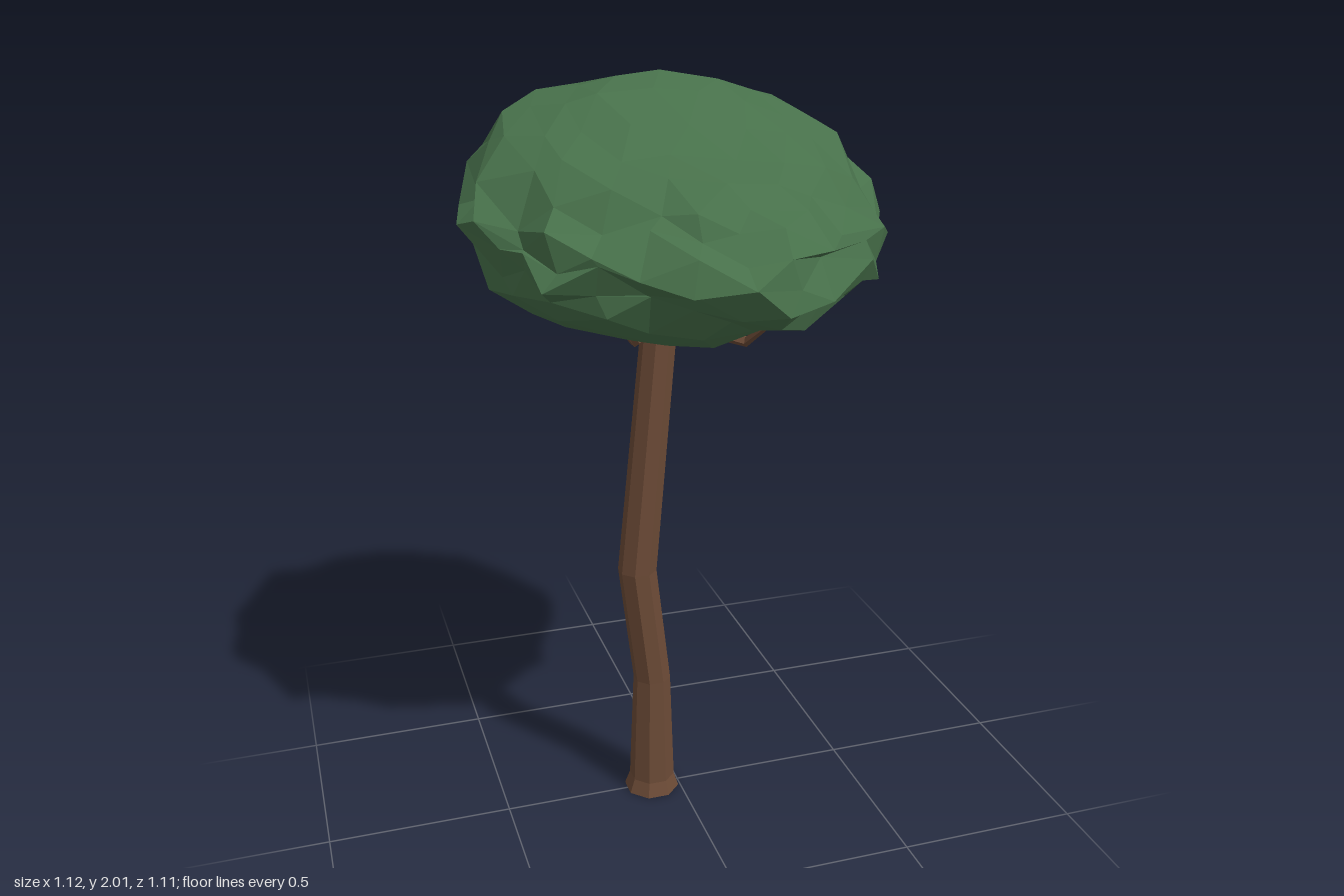
import * as THREE from 'three';

const bark = new THREE.MeshStandardMaterial({ color: 0x6b4a36, flatShading: true });
const leaf = new THREE.MeshStandardMaterial({ color: 0x47704a, flatShading: true });

// Canopy radius seen from above, in equal steps from +x towards +z
const outline = [
  0.55, 0.525, 0.55, 0.535, 0.555, 0.49, 0.56, 0.545,
  0.55, 0.515, 0.565, 0.54, 0.535, 0.56, 0.535, 0.545,
];

function outlineRadius(x, z) {
  const n = outline.length;
  const t = ((Math.atan2(z, x) / (Math.PI * 2) + 1) % 1) * n;
  const i = Math.floor(t);
  return THREE.MathUtils.lerp(outline[i % n], outline[(i + 1) % n], t - i);
}

// Repeatable value in -1..1 for a point, so that shared corners move together
function hash(x, y, z) {
  const q = (v) => Math.round(v * 1000);
  const s = Math.sin(q(x) * 0.1271 + q(y) * 0.3117 + q(z) * 0.0747 + 3.1) * 43758.5453;
  return (s - Math.floor(s)) * 2 - 1;
}

// Faceted limb through horizontal or path-facing rings; each ring is [x, y, z, radius]
function limb(name, rings, sides, horizontal) {
  const points = rings.map(([x, y, z]) => new THREE.Vector3(x, y, z));
  const up = new THREE.Vector3(0, 1, 0);
  const pos = [], index = [];
  rings.forEach(([, , , r], i) => {
    const dir = horizontal
      ? up
      : points[Math.min(i + 1, points.length - 1)].clone().sub(points[Math.max(i - 1, 0)]).normalize();
    const turn = new THREE.Quaternion().setFromUnitVectors(up, dir);
    for (let j = 0; j < sides; j++) {
      const a = ((j + 0.5) / sides) * Math.PI * 2;
      const p = new THREE.Vector3(Math.sin(a) * r, 0, Math.cos(a) * r).applyQuaternion(turn).add(points[i]);
      pos.push(p.x, p.y, p.z);
      if (i > 0) {
        const k = (j + 1) % sides, lo = (i - 1) * sides, hi = i * sides;
        index.push(lo + j, lo + k, hi + k, lo + j, hi + k, hi + j);
      }
    }
  });
  // End caps
  const top = (rings.length - 1) * sides;
  for (let j = 1; j < sides - 1; j++) {
    index.push(0, j + 1, j, top, top + j, top + j + 1);
  }
  const geo = new THREE.BufferGeometry();
  geo.setAttribute('position', new THREE.Float32BufferAttribute(pos, 3));
  geo.setIndex(index);
  geo.computeVertexNormals();
  const mesh = new THREE.Mesh(geo, bark);
  mesh.name = name;
  return mesh;
}

// Rough ellipsoid of leaves whose upper side slopes down towards the front
function canopy() {
  const { lerp, smoothstep } = THREE.MathUtils;
  const geo = new THREE.IcosahedronGeometry(1, 4);
  const p = geo.attributes.position;
  const v = new THREE.Vector3();
  for (let i = 0; i < p.count; i++) {
    const { x, y, z } = v.fromBufferAttribute(p, i).normalize();
    const rim = 1 - y * y;
    const wide = outlineRadius(x, z) * (0.98 + 0.04 * rim * hash(x, y, z));
    const slip = 0.014 + 0.008 * rim;
    const px = x * wide + slip * hash(y, z, x);
    const pz = z * wide + slip * hash(x, z, y);
    const upper = lerp(0.025, -0.125, smoothstep(pz, -0.15, 0.27)) - 0.06 * px;
    const lower = -0.07 * pz;
    const shift = lerp(lower, upper, smoothstep(y, -0.5, 0.5));
    p.setXYZ(i, px, 1.69 + y * 0.303 + shift + 0.035 * rim * hash(z, x, y), pz);
  }
  geo.computeVertexNormals();
  const mesh = new THREE.Mesh(geo, leaf);
  mesh.name = 'canopy';
  return mesh;
}

export function createModel() {
  const tree = new THREE.Group();
  tree.name = 'tree';

  // Crooked trunk with a flared foot and a thin leader inside the leaves
  tree.add(limb('trunk', [
    [-0.078, 0, 0, 0.078],
    [-0.077, 0.04, 0, 0.064],
    [-0.075, 0.36, 0, 0.052],
    [-0.114, 0.7, 0, 0.053],
    [-0.045, 1.41, -0.003, 0.047],
    [-0.035, 1.5, 0, 0.01],
  ], 8, true));

  // Thin branches that bend up into the leaves; the first dips below them
  const branches = [
    [1.405, [0.14, 1.365, 0.14], [0.175, 1.44, 0.23]],
    [1.45, [-0.17, 1.41, 0.2], [-0.24, 1.5, 0.26]],
    [1.46, [-0.22, 1.44, -0.12], [-0.3, 1.52, -0.18]],
  ];
  branches.forEach(([height, elbow, tip], i) => {
    tree.add(limb(`branch${i + 1}`, [
      [-0.045, height, 0, 0.018],
      [...elbow, 0.014],
      [...tip, 0.008],
    ], 5, false));
  });

  tree.add(canopy());
  return tree;
}
